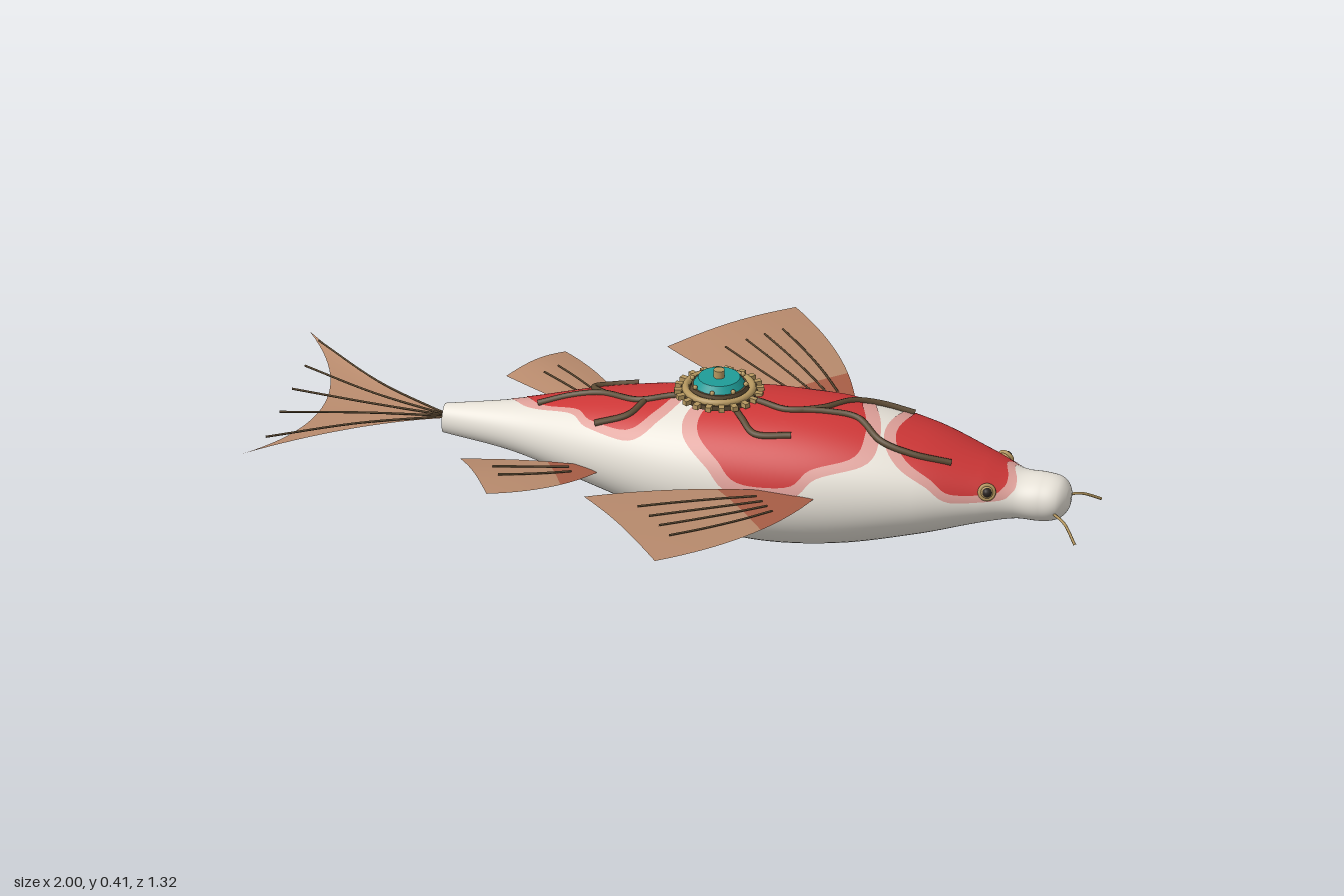
import * as THREE from 'three';
import { ParametricGeometry } from 'three/addons/geometries/ParametricGeometry.js';

const mat = (name, color, side = THREE.FrontSide) => {
  const m = new THREE.MeshStandardMaterial({ color, side });
  m.name = name;
  return m;
};

// Body stations: x, top y, bottom y, half width
const STATIONS = [
  [-0.585, 0.23, 0.157, 0.03], [-0.4, 0.262, 0.135, 0.07], [-0.2, 0.308, 0.085, 0.137],
  [0, 0.338, 0.032, 0.185], [0.2, 0.357, 0.002, 0.205], [0.4, 0.354, 0.018, 0.199],
  [0.6, 0.318, 0.066, 0.16], [0.75, 0.268, 0.11, 0.105], [0.83, 0.24, 0.126, 0.073],
  [0.89, 0.239, 0.125, 0.066], [0.93, 0.232, 0.135, 0.056], [0.95, 0.212, 0.157, 0.031],
  [0.956, 0.188, 0.182, 0.003],
];

// Smooth interpolation of one station column at x
function sample(x, k) {
  const S = STATIONS, n = S.length;
  let i = 0;
  while (i < n - 2 && x > S[i + 1][0]) i++;
  const slope = (j) => {
    const a = S[Math.max(j - 1, 0)], b = S[Math.min(j + 1, n - 1)];
    return (b[k] - a[k]) / (b[0] - a[0]);
  };
  const h = S[i + 1][0] - S[i][0], t = (x - S[i][0]) / h, t2 = t * t, t3 = t2 * t;
  return (2 * t3 - 3 * t2 + 1) * S[i][k] + (t3 - 2 * t2 + t) * h * slope(i)
    + (3 * t2 - 2 * t3) * S[i + 1][k] + (t3 - t2) * h * slope(i + 1);
}

// Point on the body: angle runs from the back (0) towards +z
function skin(x, angle, lift, out) {
  const top = sample(x, 1), bottom = sample(x, 2);
  return out.set(x, (top + bottom) / 2 + ((top - bottom) / 2 + lift) * Math.cos(angle),
    (sample(x, 3) + lift) * Math.sin(angle));
}

export function createModel() {
  const model = new THREE.Group();
  model.name = 'ornamentedFish';
  const white = mat('pearlWhite', 0xe6e1d7), red = mat('scarlet', 0xcc3636);
  const pink = mat('palePink', 0xdd9f98), finTan = mat('finTan', 0xba8c6e, THREE.DoubleSide);
  const finRust = mat('finRust', 0xaa5f47, THREE.DoubleSide), gold = mat('oldGold', 0xb5975f);
  const bronze = mat('darkBronze', 0x5c4a33), teal = mat('teal', 0x1f9c98);
  const dark = mat('pupilDark', 0x2a2320);

  const add = (name, geometry, material, x = 0, y = 0, z = 0, parent = model) => {
    const mesh = new THREE.Mesh(geometry, material);
    mesh.name = name;
    mesh.position.set(x, y, z);
    parent.add(mesh);
    return mesh;
  };
  const tube = (name, pts, radius, material, segments = 24, sides = 6) =>
    add(name, new THREE.TubeGeometry(new THREE.CatmullRomCurve3(pts), segments, radius, sides), material);
  const V = (x, y, z) => new THREE.Vector3(x, y, z);

  // Body
  const spans = STATIONS.length - 1;
  add('body', new ParametricGeometry((u, v, p) => {
    const i = Math.min(Math.floor(v * spans), spans - 1);
    const x = THREE.MathUtils.lerp(STATIONS[i][0], STATIONS[i + 1][0], v * spans - i);
    skin(x, u * Math.PI * 2, 0, p);
  }, 64, spans * 8), white);
  const stump = add('tailStump', new THREE.CircleGeometry(1, 32), white, -0.585, 0.1935, 0);
  stump.rotation.y = -Math.PI / 2;
  stump.scale.set(0.03, 0.0365, 1);

  // Skin patches: outlines of x and angle in degrees, each with a pale margin
  const patches = {
    head: [[0.56, -48], [0.66, -64], [0.75, -66], [0.81, -45], [0.795, -12], [0.81, 25], [0.805, 50],
      [0.77, 68], [0.7, 72], [0.64, 56], [0.58, 42], [0.54, 20], [0.55, -15]],
    middle: [[0.2, -28], [0.3, -23], [0.39, -28], [0.44, -5], [0.47, 25], [0.45, 48], [0.36, 60],
      [0.3, 75], [0.2, 76], [0.13, 60], [0.07, 40], [0.08, 15], [0.16, -5]],
    rear: [[-0.37, -50], [-0.25, -65], [-0.1, -72], [0, -55], [0.02, -30], [-0.01, 0], [-0.05, 25],
      [-0.12, 46], [-0.2, 40], [-0.25, 25], [-0.32, 20], [-0.37, 0]],
  };
  for (const [name, pts] of Object.entries(patches)) {
    const curve = new THREE.CatmullRomCurve3(pts.map(([x, a]) => V(x, THREE.MathUtils.degToRad(a), 0)), true);
    const mid = pts.reduce((c, [x, a]) => c.add(V(x, THREE.MathUtils.degToRad(a), 0)), V(0, 0, 0))
      .divideScalar(pts.length);
    const layer = (scale, lift) => new ParametricGeometry((u, v, p) => {
      const q = curve.getPoint(u % 1).sub(mid).multiplyScalar(v * scale).add(mid);
      skin(q.x, q.y, lift, p);
    }, 80, 16);
    add(name + 'PatchMargin', layer(1.18, 0.0015), pink);
    add(name + 'Patch', layer(1, 0.003), red);
  }

  // Paired fins: fans between a curved rear edge and a curved front edge
  const bezier = (a, b, c, t) => (1 - t) * (1 - t) * a + 2 * t * (1 - t) * b + t * t * c;
  function fin(name, side, f) {
    const at = (u, v, p) => {
      const e = [0, 1].map((k) => THREE.MathUtils.lerp(
        bezier(f.root[k], f.rearBend[k], f.rear[k], v), bezier(f.root[k], f.frontBend[k], f.front[k], v), u));
      const y = f.y + f.rise * v + 0.012 * Math.sin(Math.PI * u) * v;
      return p.set(e[0], y, e[1] * side);
    };
    const part = (from, to) => new ParametricGeometry((u, v, p) => at(u, from + (to - from) * v, p), 16, 12);
    add(name + 'Root', part(0, 0.45), finRust);
    add(name + 'Web', part(0.45, 1), finTan);
    for (const u of f.rays) {
      tube(name + 'Ray', [0.32, 0.5, 0.7, 0.86].map((v) => {
        const p = at(u, v, V(0, 0, 0));
        p.y += 0.003;
        return p;
      }), 0.003, bronze, 10, 4);
    }
  }
  for (const side of [1, -1]) {
    const label = side > 0 ? 'left' : 'right';
    fin(label + 'PectoralFin', side, {
      root: [0.38, 0.17], rearBend: [0.12, 0.21], rear: [-0.14, 0.39], frontBend: [0.33, 0.45],
      front: [0.105, 0.66], y: 0.205, rise: 0.038, rays: [0.28, 0.45, 0.6, 0.75],
    });
    fin(label + 'PelvicFin', side, {
      root: [-0.16, 0.11], rearBend: [-0.3, 0.13], rear: [-0.49, 0.215], frontBend: [-0.22, 0.28],
      front: [-0.385, 0.37], y: 0.172, rise: 0.035, rays: [0.35, 0.6],
    });
  }

  // Tail fin: flat sheet with a hollow trailing edge
  add('tailFin', new ParametricGeometry((u, v, p) => {
    const w = 2 * u - 1;
    p.set(bezier(-0.57, -0.78, -1, v) + 0.12 * (1 - w * w) * v,
      0.2 - 0.008 * v + 0.012 * w * w * v, w * bezier(0.01, 0.09, 0.318, v));
  }, 24, 16), finTan);
  for (const z of [-0.25, -0.12, 0, 0.12, 0.25]) {
    tube('tailRay', [V(-0.57, 0.2, 0), V(-0.77, 0.208, z * 0.42), V(-0.96, 0.22, z)], 0.003, bronze, 12, 4);
  }

  // Eyes and barbels
  for (const side of [1, -1]) {
    const eye = new THREE.Group();
    eye.name = side > 0 ? 'leftEye' : 'rightEye';
    skin(0.77, side * 1.08, 0, eye.position);
    eye.lookAt(eye.position.x + 0.35, eye.position.y + 0.35, eye.position.z + side);
    model.add(eye);
    add('eyeball', new THREE.SphereGeometry(0.018, 20, 14), gold, 0, 0, 0, eye);
    add('eyeRim', new THREE.TorusGeometry(0.017, 0.005, 8, 24), gold, 0, 0, 0.006, eye);
    add('pupil', new THREE.SphereGeometry(0.012, 16, 12), dark, 0, 0, 0.011, eye);
    tube('barbel', [V(0.925, 0.165, side * 0.05), V(0.96, 0.158, side * 0.08), V(0.997, 0.127, side * 0.122)],
      0.0035, gold, 14);
  }

  // Creeping vines over the back: paths of x and z
  const vines = [
    [[0.14, 0.01], [0.2, 0.03], [0.27, 0.05], [0.35, 0.025], [0.41, -0.04], [0.47, -0.07], [0.55, -0.08]],
    [[0.3, 0.045], [0.37, 0.035], [0.44, 0.035], [0.51, 0.085], [0.59, 0.09], [0.68, 0.07]],
    [[0.13, 0.04], [0.17, 0.09], [0.21, 0.125], [0.3, 0.12]],
    [[0.05, 0], [-0.03, 0.02], [-0.1, 0.035], [-0.2, 0], [-0.27, 0], [-0.35, 0.02]],
    [[-0.08, 0.03], [-0.11, 0.08], [-0.19, 0.095]],
    [[-0.19, 0.003], [-0.23, -0.05], [-0.19, -0.08], [-0.13, -0.09]],
  ];
  for (const path of vines) {
    const pts = path.map(([x, z]) => skin(x, Math.asin(z / sample(x, 3)), 0.005, V(0, 0, 0)));
    tube('vine', pts, 0.008, bronze, 40, 8);
  }

  // Round jewelled brooch on the back
  const brooch = new THREE.Group();
  brooch.name = 'brooch';
  brooch.position.set(0.09, 0, 0);
  model.add(brooch);
  const disc = (name, r1, r2, h, y, m) =>
    add(name, new THREE.CylinderGeometry(r1, r2, h, 40), m, 0, y, 0, brooch);
  disc('mount', 0.06, 0.07, 0.03, 0.342, bronze);
  disc('basePlate', 0.092, 0.092, 0.012, 0.358, bronze);
  const rim = add('rim', new THREE.TorusGeometry(0.08, 0.009, 8, 40), gold, 0, 0.367, 0, brooch);
  rim.rotation.x = Math.PI / 2;
  for (let i = 0; i < 20; i++) {
    const a = (i / 20) * Math.PI * 2;
    const tooth = add('tooth', new THREE.BoxGeometry(0.022, 0.012, 0.014), gold,
      0.096 * Math.cos(a), 0.361, 0.096 * Math.sin(a), brooch);
    tooth.rotation.y = -a;
  }
  disc('gemSetting', 0.066, 0.07, 0.014, 0.372, bronze);
  disc('gem', 0.05, 0.062, 0.018, 0.387, teal);
  for (let i = 0; i < 8; i++) {
    const a = (i / 8) * Math.PI * 2;
    add('bead', new THREE.SphereGeometry(0.006, 10, 8), gold,
      0.066 * Math.cos(a), 0.385, 0.066 * Math.sin(a), brooch);
  }
  disc('finial', 0.013, 0.013, 0.022, 0.404, gold);
  return model;
}
